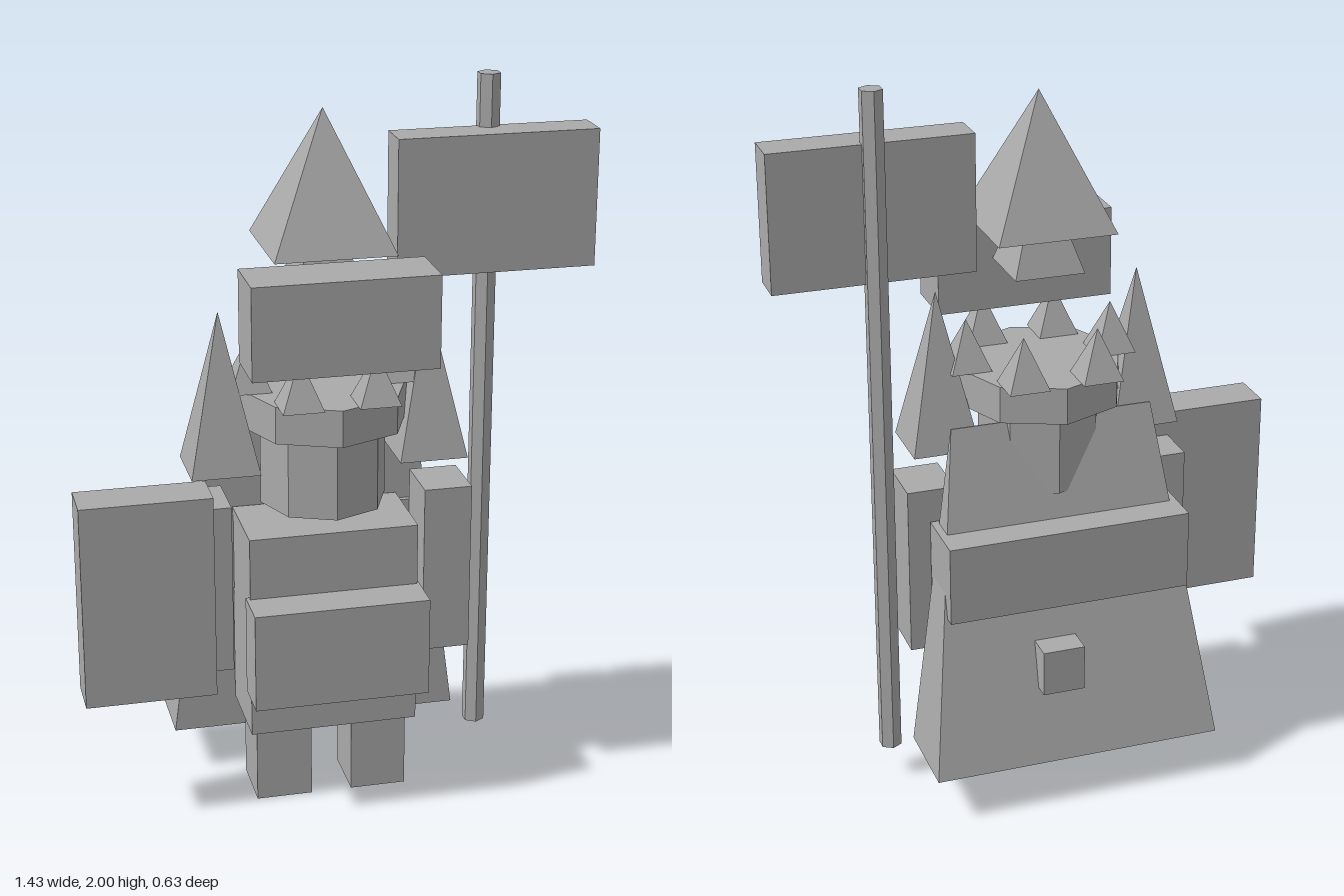
import * as THREE from 'three';

const grey = new THREE.MeshStandardMaterial({ color: 0xaaaaaa, flatShading: true });
grey.name = 'stone grey';

const CX = -0.026; // body centre line
const CZ = 0.036;  // head and hat centre

export function createModel() {
  const model = new THREE.Group();
  model.name = 'bannerFigure';

  const add = (name, geometry) => {
    const mesh = new THREE.Mesh(geometry, grey);
    mesh.name = name;
    model.add(mesh);
    return mesh;
  };

  // Box from its limits along each axis
  const box = (name, [x0, x1], [y0, y1], [z0, z1]) =>
    add(name, new THREE.BoxGeometry(x1 - x0, y1 - y0, z1 - z0))
      .position.set((x0 + x1) / 2, (y0 + y1) / 2, (z0 + z1) / 2);

  // Square pyramid with sides parallel to the axes
  const pyramid = (name, half, y0, y1, x, z) => {
    const g = new THREE.ConeGeometry(half * Math.SQRT2, y1 - y0, 4);
    g.rotateY(Math.PI / 4);
    add(name, g).position.set(x, (y0 + y1) / 2, z);
  };

  // Upright prism
  const prism = (name, r, sides, y0, y1, x, z) =>
    add(name, new THREE.CylinderGeometry(r, r, y1 - y0, sides))
      .position.set(x, (y0 + y1) / 2, z);

  // Torso and belly plate
  box('torso', [-0.26, 0.207], [0.225, 0.81], [-0.065, 0.177]);
  box('bellyPlate', [-0.27, 0.213], [0.357, 0.636], [0.162, 0.29]);

  // Legs, arms and shoulder spikes
  for (const [side, s] of [['left', 1], ['right', -1]]) {
    const leg = CX + s * 0.135, arm = CX + s * 0.336;
    box(side + 'Leg', [leg - 0.078, leg + 0.078], [0, 0.23], [-0.03, 0.14]);
    box(side + 'Arm', [arm - 0.067, arm + 0.067], [0.4, 0.883], [-0.05, 0.113]);
    pyramid(side + 'ShoulderSpike', 0.094, 0.98, 1.415, CX + s * 0.286, 0.047);
  }

  // Head and spiked crown
  prism('head', 0.174, 8, 0.86, 1.07, CX, CZ);
  prism('crownBand', 0.234, 8, 1.09, 1.193, CX, CZ);
  for (let i = 0; i < 6; i++) {
    const a = i * Math.PI / 3;
    pyramid('crownSpike', 0.056, 1.193, 1.33, CX + 0.206 * Math.cos(a), CZ + 0.206 * Math.sin(a));
  }

  // Brow block and hat
  box('browBlock', [-0.275, 0.222], [1.306, 1.558], [0.145, 0.317]);
  pyramid('hatBase', 0.097, 1.457, 1.75, CX, CZ);
  pyramid('hat', 0.164, 1.58, 1.942, CX, CZ);

  // Cloak: a wedge with an upright front, narrowing to a ridge at the top
  const cloak = new THREE.BoxGeometry(1, 1, 1);
  const p = cloak.attributes.position;
  for (let i = 0; i < p.count; i++) {
    const top = p.getY(i) > 0, back = p.getZ(i) < 0;
    p.setXYZ(i,
      CX + Math.sign(p.getX(i)) * (top ? 0.285 : 0.409),
      top ? 1.065 : 0.13,
      back ? (top ? -0.074 : -0.315) : -0.07);
  }
  cloak.computeVertexNormals();
  add('cloak', cloak);

  // Pack across the back and its small buckle
  box('backPack', [-0.368, 0.316], [0.567, 0.79], [-0.055, -0.235]
    .sort((a, b) => a - b));
  box('buckle', [-0.042, 0.076], [0.34, 0.47], [-0.304, -0.19]);

  // Shield by the right arm
  box('shield', [-0.718, -0.36], [0.375, 0.953], [0.077, 0.204]);

  // Banner on its pole
  prism('bannerPole', 0.032, 6, 0.095, 2, 0.437, -0.02);
  box('banner', [0.165, 0.714], [1.483, 1.858], [-0.022, 0.085]);

  return model;
}
